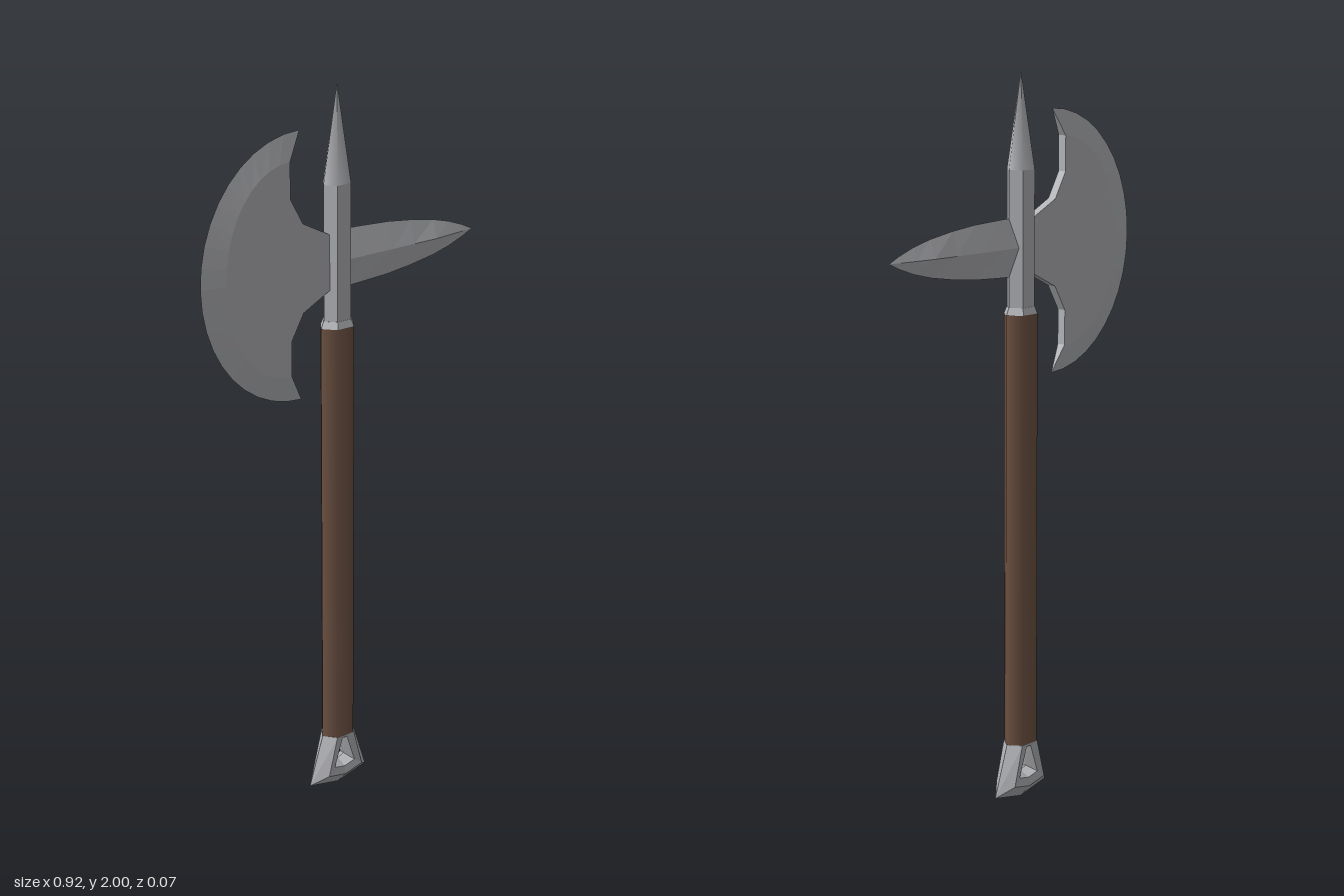
import * as THREE from 'three';

const AXIS_X = -0.023; // shaft axis
const HEAD_Y = 1.543; // centre height of blade and pick

// Skins a list of closed rings (equal point counts) with flat faces.
function loft(rings) {
  const pos = [];
  for (let r = 0; r < rings.length - 1; r++) {
    const a = rings[r], b = rings[r + 1], n = a.length;
    for (let i = 0; i < n; i++) {
      const j = (i + 1) % n;
      pos.push(...a[i], ...b[i], ...b[j], ...a[i], ...b[j], ...a[j]);
    }
  }
  const g = new THREE.BufferGeometry();
  g.setAttribute('position', new THREE.Float32BufferAttribute(pos, 3));
  g.computeVertexNormals();
  return g;
}

// Flattened six-sided prism with its corners on the x axis.
function hexPrism(rTop, rBottom, y0, y1, flat) {
  let g = new THREE.CylinderGeometry(rTop, rBottom, y1 - y0, 6, 1, false, Math.PI / 6);
  g.scale(1, 1, 0.74);
  g.translate(AXIS_X, (y0 + y1) / 2, 0);
  if (flat) {
    g = g.toNonIndexed();
    g.computeVertexNormals();
  }
  return g;
}

// Crescent blade: flat plate plus a bevel running to a sharp edge.
function bladeGeometries() {
  const N = 20, T = 0.0125;
  const inner = [], outer = [];
  for (let i = 0; i <= N; i++) {
    const t = Math.PI / 2 + (Math.PI * i) / N;
    inner.push([-0.185 + 0.205 * Math.cos(t), HEAD_Y + 0.281 * Math.sin(t)]);
    outer.push([-0.145 + 0.315 * Math.cos(t), HEAD_Y + 0.354 * Math.sin(t)]);
  }
  const neck = [[-0.185, 0.186], [-0.145, 0.117], [-0.06, 0.075], [-0.03, 0.07]];
  const lower = neck.map(([x, y]) => [x, HEAD_Y - y]);
  const upper = neck.map(([x, y]) => [x, HEAD_Y + y]).reverse();
  const shape = new THREE.Shape([...inner, ...lower, ...upper].map(p => new THREE.Vector2(...p)));
  const plate = new THREE.ExtrudeGeometry(shape, { depth: 2 * T, bevelEnabled: false });
  plate.translate(0, 0, -T);

  const rings = inner.map((p, i) => [[...p, -T], [...outer[i], 0], [...p, T]]);
  const cap = p => [[...p, 0], [...p, 0], [...p, 0]];
  const edge = loft([cap(inner[0]), ...rings, cap(inner[N])]);
  return [plate, edge];
}

// Diamond-section pick: [x, half height, half depth]
function pickGeometry() {
  const sections = [
    [-0.02, 0.078, 0.021], [0.05, 0.076, 0.02], [0.15, 0.071, 0.019], [0.23, 0.062, 0.018],
    [0.31, 0.049, 0.0175], [0.37, 0.034, 0.011], [0.42, 0.016, 0.005], [0.455, 0, 0],
  ];
  return loft(sections.map(([x, h, d]) => [
    [x, HEAD_Y + h, 0], [x, HEAD_Y, -d], [x, HEAD_Y - h, 0], [x, HEAD_Y, d],
  ]));
}

// Flared pommel with a triangular eye; each ring goes round the eye.
function pommelGeometry() {
  const ring = (topX, topY, lowX, lowY, midY, z) =>
    [[-topX, topY], [topX, topY], [lowX, lowY], [0, midY], [-lowX, lowY]]
      .map(([x, y]) => [AXIS_X + x, y, z]);
  const rim = ring(0.055, 0.168, 0.102, 0.025, 0.003, 0);
  const face = z => ring(0.03, 0.168, 0.06, 0.055, 0.042, z);
  const lip = z => ring(0.008, 0.158, 0.036, 0.074, 0.066, z);
  const eye = ring(0.003, 0.145, 0.021, 0.087, 0.079, 0);
  return loft([rim, face(0.035), lip(0.031), eye, lip(-0.031), face(-0.035), rim]);
}

export function createModel() {
  const steel = new THREE.MeshStandardMaterial({ color: 0xb2b3b7 });
  steel.name = 'steel';
  const wood = new THREE.MeshStandardMaterial({ color: 0x6b5041 });
  wood.name = 'wood';

  const model = new THREE.Group();
  model.name = 'battleAxe';
  const add = (name, geometry, material, parent = model) => {
    const mesh = new THREE.Mesh(geometry, material);
    mesh.name = name;
    parent.add(mesh);
  };

  // Haft and its fittings
  add('handle', hexPrism(0.055, 0.055, 0.167, 1.366, false), wood);
  add('pommel', pommelGeometry(), steel);
  add('collar', hexPrism(0.046, 0.055, 1.366, 1.385, true), steel);

  // Head
  add('socket', hexPrism(0.045, 0.045, 1.385, 1.745, true), steel);
  add('topSpike', hexPrism(0, 0.045, 1.745, 2, false), steel);
  add('pick', pickGeometry(), steel);

  const blade = new THREE.Group();
  blade.name = 'blade';
  model.add(blade);
  const [plate, edge] = bladeGeometries();
  add('bladePlate', plate, steel, blade);
  add('bladeEdge', edge, steel, blade);

  return model;
}
